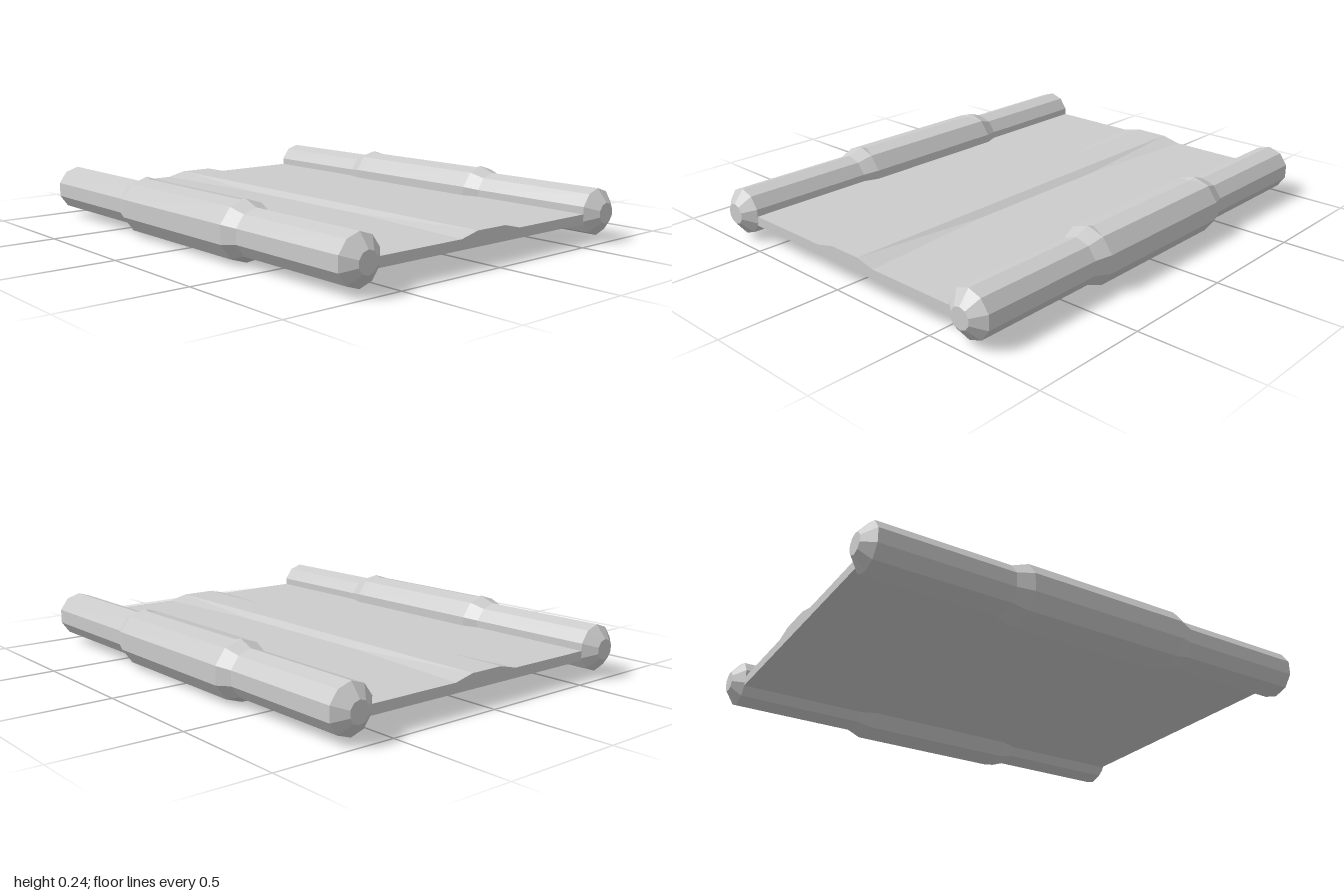
import * as THREE from 'three';

const material = new THREE.MeshStandardMaterial({ color: 0xcccccc, flatShading: true });

// Closed loft through counter-clockwise rings of [x, y], ordered by rising z
function loft(name, sections) {
  const pos = [];
  const rings = sections.map(({ z, ring }) => ring.map(([x, y]) => new THREE.Vector3(x, y, z)));
  const tri = (...pts) => pts.forEach((p) => pos.push(p.x, p.y, p.z));
  for (let k = 0; k < rings.length - 1; k++) {
    const n = rings[k].length;
    for (let i = 0; i < n; i++) {
      const j = (i + 1) % n;
      const a = rings[k][i], b = rings[k][j], c = rings[k + 1][j], d = rings[k + 1][i];
      // split each quad along its shorter diagonal
      if (a.distanceTo(c) < b.distanceTo(d)) { tri(a, b, c); tri(a, c, d); }
      else { tri(a, b, d); tri(b, c, d); }
    }
  }
  const first = rings[0], last = rings[rings.length - 1];
  const outline = last.map((p) => new THREE.Vector2(p.x, p.y));
  for (const [a, b, c] of THREE.ShapeUtils.triangulateShape(outline, [])) tri(last[a], last[b], last[c]);
  const back = first.map((p) => new THREE.Vector2(p.x, p.y));
  for (const [a, b, c] of THREE.ShapeUtils.triangulateShape(back, [])) tri(first[c], first[b], first[a]);
  const geometry = new THREE.BufferGeometry();
  geometry.setAttribute('position', new THREE.Float32BufferAttribute(pos, 3));
  geometry.computeVertexNormals();
  const mesh = new THREE.Mesh(geometry, material);
  mesh.name = name;
  return mesh;
}

// Ten-sided ring with a corner at the top; the top corner may be lowered
function decagon(r, topY = r) {
  return Array.from({ length: 10 }, (_, i) => {
    const a = Math.PI / 2 + (i * Math.PI) / 5;
    return [r * Math.cos(a), i === 0 ? topY : r * Math.sin(a)];
  });
}

// Roller with bevelled ends and a thicker grip in the middle
function roller(name) {
  const half = [[0.315, 0.12, 0.112], [0.345, 0.12], [0.41, 0.096], [0.957, 0.096], [1, 0.043]];
  const section = (s) => ([z, r, top]) => ({ z: s * z, ring: decagon(r, top) });
  return loft(name, [...half.map(section(-1)).reverse(), ...half.map(section(1))]);
}

// Sheet cross-section with a raised middle whose ramps end at x = foot
function sheetRing(foot) {
  return [
    [-0.62, 0.08], [0.62, 0.08], [0.62, 0.12], [foot, 0.12],
    [0.075, 0.14], [-0.075, 0.14], [-foot, 0.12], [-0.62, 0.12],
  ];
}

export function createModel() {
  const model = new THREE.Group();
  model.name = 'scroll';

  // Sheet: the hump's ramps are steeper along the middle than at the ends
  model.add(loft('sheet', [
    { z: -0.957, ring: sheetRing(0.16) },
    { z: -0.35, ring: sheetRing(0.11) },
    { z: 0.35, ring: sheetRing(0.11) },
    { z: 0.957, ring: sheetRing(0.16) },
  ]));

  // Rollers on both sides
  for (const [name, side] of [['leftRoller', 1], ['rightRoller', -1]]) {
    const mesh = roller(name);
    mesh.position.set(side * 0.65, 0.12, 0);
    model.add(mesh);
  }
  return model;
}
